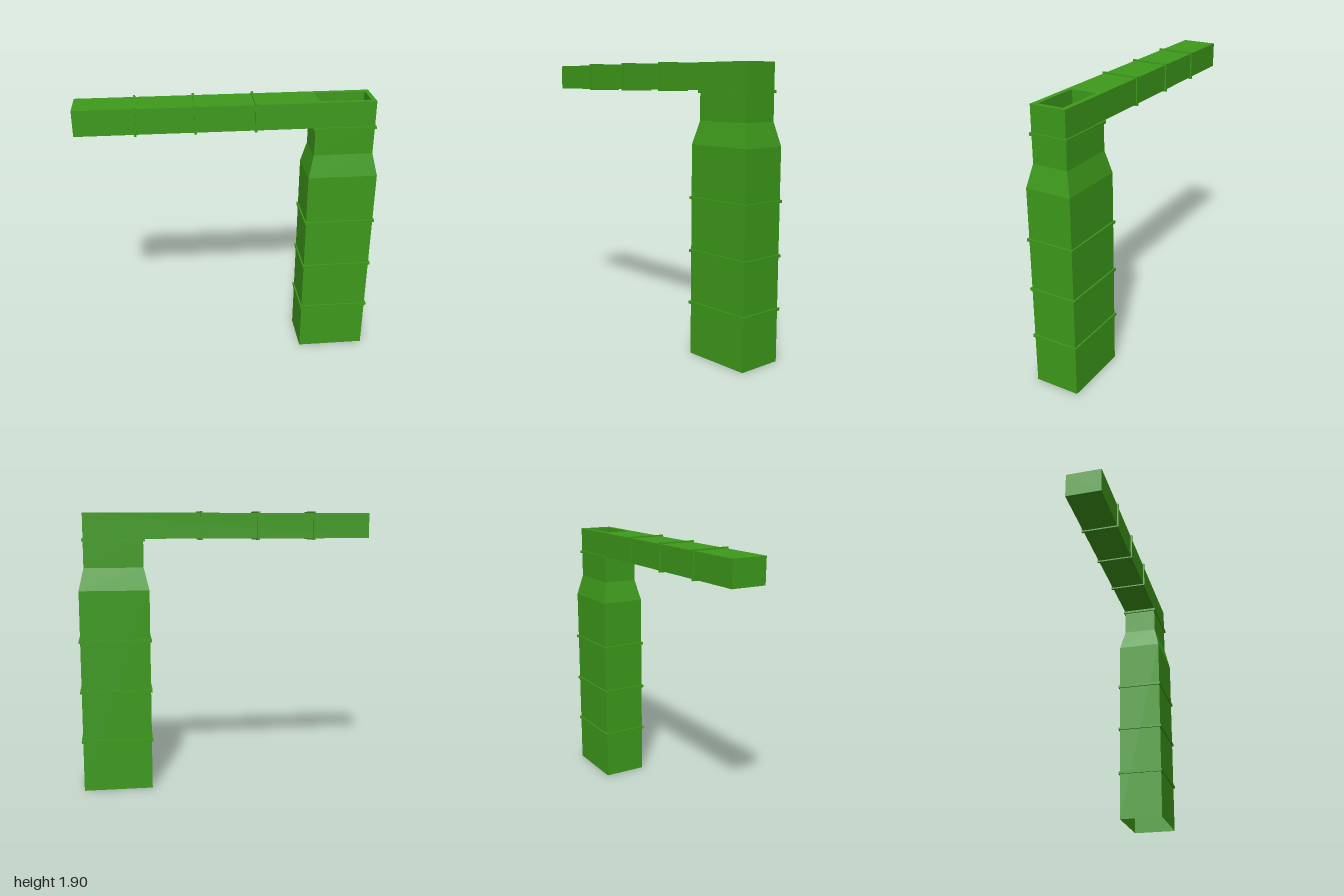
import * as THREE from 'three';

const green = new THREE.MeshStandardMaterial({ color: 0x3d9a1b, flatShading: true });
const greenShell = new THREE.MeshStandardMaterial({ color: 0x3d9a1b, flatShading: true, side: THREE.DoubleSide });

const COLUMN_X = 0.752;

// Rectangle outline centred on (x, 0), used for both shapes and holes
function rect(path, x, halfW, halfD) {
  path.moveTo(x - halfW, -halfD);
  path.lineTo(x + halfW, -halfD);
  path.lineTo(x + halfW, halfD);
  path.lineTo(x - halfW, halfD);
  path.closePath();
  return path;
}

// Rectangular frame of the given thickness, extruded along +z
function frame(halfW, halfD, outerRim, innerRim, depth) {
  const shape = rect(new THREE.Shape(), 0, halfW + outerRim, halfD + outerRim);
  shape.holes.push(rect(new THREE.Path(), 0, halfW - innerRim, halfD - innerRim));
  return new THREE.ExtrudeGeometry(shape, { depth, bevelEnabled: false }).translate(0, 0, -depth / 2);
}

// Open four-sided tube through sections [y, halfWidth, halfDepth], top to bottom
function rectTube(sections) {
  const geo = new THREE.CylinderGeometry(1, 1, 1, 4, sections.length - 1, true, Math.PI / 4);
  const pos = geo.attributes.position;
  for (let i = 0; i < pos.count; i++) {
    const [y, w, d] = sections[Math.floor(i / 5)];
    pos.setXYZ(i, Math.sign(pos.getX(i)) * w, y, Math.sign(pos.getZ(i)) * d);
  }
  const flat = geo.toNonIndexed();
  flat.computeVertexNormals();
  return flat;
}

export function createModel() {
  const model = new THREE.Group();
  model.name = 'duct';

  const add = (name, geo, mat = green) => {
    const mesh = new THREE.Mesh(geo, mat);
    mesh.name = name;
    model.add(mesh);
    return mesh;
  };

  // Thin-walled column, open at the bottom, tapering to a neck
  add('column', rectTube([
    [1.72, 0.198, 0.12],
    [1.53, 0.198, 0.12],
    [1.38, 0.233, 0.155],
    [0.005, 0.233, 0.155],
  ]), greenShell).position.x = COLUMN_X;

  // Horizontal arm with an opening above the column
  const armShape = rect(new THREE.Shape(), -0.025, 0.975, 0.12);
  armShape.holes.push(rect(new THREE.Path(), 0.75, 0.17, 0.086));
  const arm = add('arm', new THREE.ExtrudeGeometry(armShape, { depth: 0.171, bevelEnabled: false }));
  arm.rotation.x = -Math.PI / 2;
  arm.position.y = 1.72;

  // Flanges around the column and its neck
  const ringSizes = [[0.35, 0.233, 0.155], [0.695, 0.233, 0.155], [1.04, 0.233, 0.155], [1.712, 0.198, 0.12]];
  for (const [y, w, d] of ringSizes) {
    const ring = add('columnFlange', frame(w, d, 0.01, 0, 0.018));
    ring.rotation.x = -Math.PI / 2;
    ring.position.set(COLUMN_X, y, 0);
  }

  // Flanges around the arm
  for (const x of [-0.61, -0.225, 0.165]) {
    const ring = add('armFlange', frame(0.12, 0.0855, 0.01, 0.005, 0.015));
    ring.rotation.y = Math.PI / 2;
    ring.position.set(x, 1.8055, 0);
  }

  return model;
}
